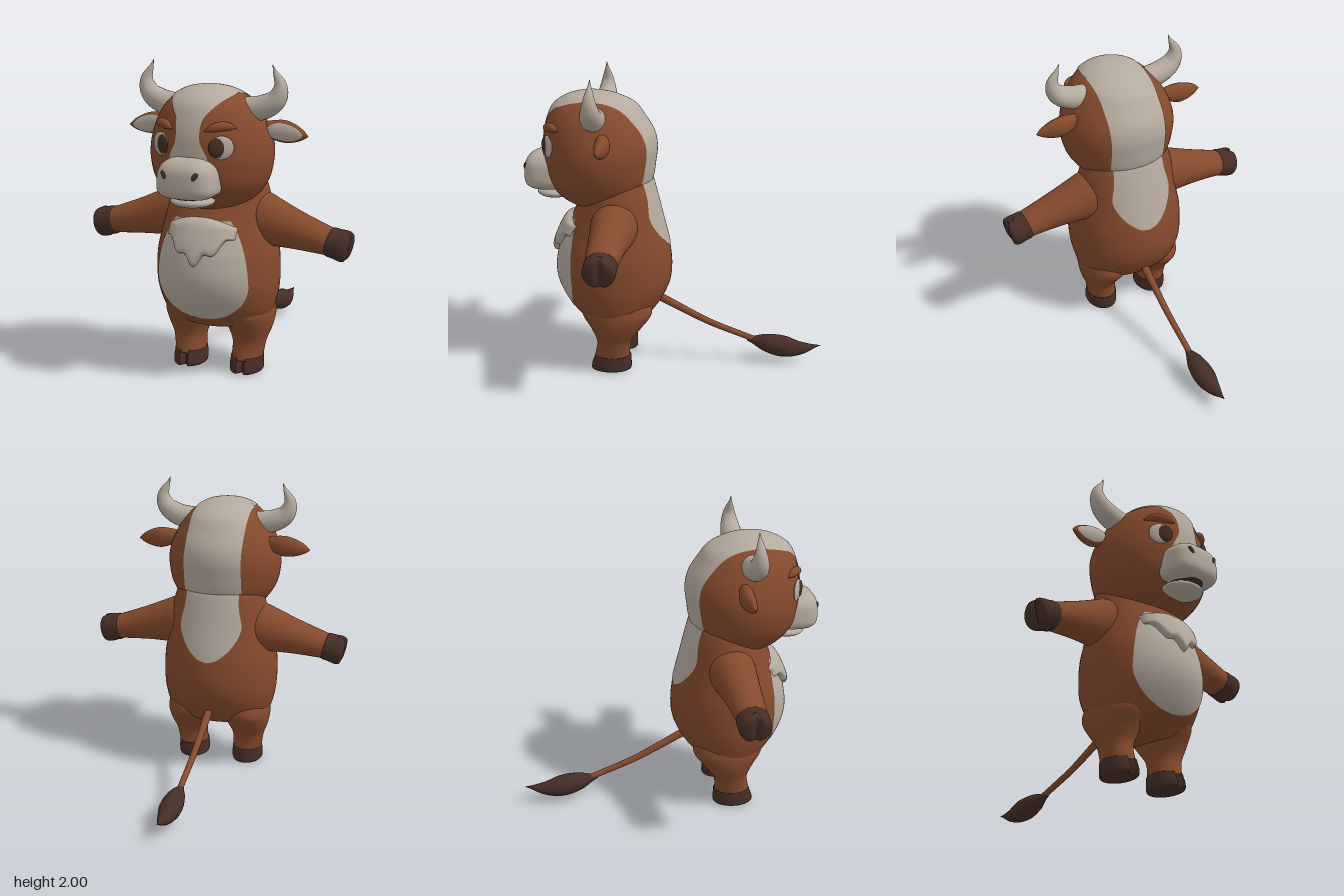
import * as THREE from 'three';
import { mergeVertices, toCreasedNormals } from 'three/addons/utils/BufferGeometryUtils.js';

const material = (name, color) => {
  const m = new THREE.MeshStandardMaterial({ color, side: THREE.DoubleSide });
  m.name = name;
  return m;
};

// Profile rows are [y, halfWidth, zBack, zFront, centreX], joined by a smooth curve.
function rowAt(rows, t) {
  const n = rows.length - 1;
  const i = Math.min(Math.floor(t), n - 1), f = t - i;
  const get = (k) => rows[Math.max(0, Math.min(n, k))];
  const [a, b, c, d] = [get(i - 1), get(i), get(i + 1), get(i + 2)];
  return b.map((_, k) => 0.5 * (2 * b[k] + (c[k] - a[k]) * f
    + (2 * a[k] - 5 * b[k] + 4 * c[k] - d[k]) * f * f
    + (3 * b[k] - a[k] - 3 * c[k] + d[k]) * f * f * f));
}

function findT(rows, y) {
  let lo = 0, hi = rows.length - 1;
  for (let i = 0; i < 30; i++) {
    const mid = (lo + hi) / 2;
    if (rowAt(rows, mid)[0] < y) lo = mid; else hi = mid;
  }
  return lo;
}

// Height of the front (side 1) or back (side -1) surface of a row at x
const depth = ([, rx, zb, zf], x, side) =>
  (zb + zf) / 2 + side * (zf - zb) / 2 * Math.sqrt(Math.max(0, 1 - (x / Math.max(rx, 1e-5)) ** 2));
const surfaceZ = (rows, x, y) => depth(rowAt(rows, findT(rows, y)), x, 1);

// Grid of points; wrap joins the last column to the first
function grid(nu, nv, wrap, flip, point) {
  const pos = [], index = [], cols = wrap ? nu : nu + 1;
  for (let j = 0; j <= nv; j++) for (let i = 0; i < cols; i++) pos.push(...point(i / nu, j / nv));
  for (let j = 0; j < nv; j++) for (let i = 0; i < nu; i++) {
    const k = (i + 1) % cols, a = j * cols + i, b = j * cols + k, c = a + cols, d = b + cols;
    if (flip) index.push(a, c, b, b, c, d); else index.push(a, b, c, b, d, c);
  }
  const g = new THREE.BufferGeometry();
  g.setAttribute('position', new THREE.Float32BufferAttribute(pos, 3));
  g.setIndex(index);
  g.computeVertexNormals();
  return g;
}

const loft = (rows) => grid(48, (rows.length - 1) * 5, true, false, (u, v) => {
  const [y, rx, zb, zf, cx = 0] = rowAt(rows, v * (rows.length - 1)), a = u * Math.PI * 2;
  return [cx + rx * Math.sin(a), y, (zb + zf) / 2 + (zf - zb) / 2 * Math.cos(a)];
});

// Thin marking that follows a loft between two heights
function patch(rows, y0, y1, side, width, k = 1.012, lift = 0) {
  const t0 = findT(rows, y0), t1 = findT(rows, y1);
  return grid(28, 60, false, side < 0, (u, v) => {
    const [y, rx, zb, zf] = rowAt(rows, t0 + (t1 - t0) * v);
    const c = (zb + zf) / 2, h = (zf - zb) / 2 * k;
    const big = [y, rx * k, c - h, c + h];
    const x = Math.min(width(y, rx), rx * k) * Math.sin((u - 0.5) * Math.PI);
    return [x, y + lift, depth(big, x, side)];
  });
}

// Width along y from [y, width] pairs
const widths = (pairs) => (y) => rowAt(pairs, findT(pairs, y))[1];

// Tube whose radius follows a list of values
function taper(points, radii) {
  const curve = new THREE.CatmullRomCurve3(points.map((p) => new THREE.Vector3(...p)));
  const n = 40, m = 20, rows = radii.map((r) => [r]);
  let g = new THREE.TubeGeometry(curve, n, 1, m);
  const p = g.attributes.position, v = new THREE.Vector3();
  for (let i = 0; i < p.count; i++) {
    const t = Math.floor(i / (m + 1)) / n, c = curve.getPointAt(t);
    v.fromBufferAttribute(p, i).sub(c).multiplyScalar(rowAt(rows, t * (rows.length - 1))[0]).add(c);
    p.setXYZ(i, v.x, v.y, v.z);
  }
  g.deleteAttribute('uv');
  g.deleteAttribute('normal');
  g = mergeVertices(g, 1e-5);
  g.computeVertexNormals();
  return g;
}

// Moves vertices by a rule, then renews the normals
function warp(g, rule) {
  const p = g.attributes.position;
  for (let i = 0; i < p.count; i++) p.setXYZ(i, ...rule(p.getX(i), p.getY(i), p.getZ(i)));
  g.computeVertexNormals();
  return g;
}

const BODY = [[0.29, 0, 0.4, 0.4], [0.31, 0.2, 0.27, 0.55], [0.35, 0.31, 0.18, 0.61], [0.42, 0.365, 0.11, 0.69],
  [0.55, 0.395, 0.04, 0.77], [0.67, 0.4, 0.02, 0.8], [0.8, 0.395, 0.03, 0.785], [0.9, 0.375, 0.05, 0.755],
  [1.0, 0.355, 0.075, 0.71], [1.1, 0.34, 0.1, 0.66], [1.2, 0.32, 0.125, 0.62], [1.3, 0.28, 0.155, 0.58], [1.4, 0.2, 0.22, 0.5]];
const HEAD = [[1.08, 0, 0.45, 0.45], [1.09, 0.12, 0.32, 0.6], [1.12, 0.21, 0.26, 0.68], [1.18, 0.29, 0.2, 0.77],
  [1.28, 0.36, 0.15, 0.84], [1.4, 0.39, 0.13, 0.865], [1.5, 0.388, 0.12, 0.87], [1.6, 0.36, 0.14, 0.865],
  [1.7, 0.31, 0.2, 0.84], [1.78, 0.245, 0.26, 0.8], [1.835, 0.165, 0.37, 0.72], [1.86, 0.08, 0.47, 0.63], [1.865, 0, 0.55, 0.55]];
const LEG = [[0.09, 0.1, 0.29, 0.53, 0.2], [0.2, 0.11, 0.28, 0.51, 0.21], [0.3, 0.145, 0.21, 0.55, 0.21],
  [0.4, 0.165, 0.14, 0.61, 0.2], [0.5, 0.15, 0.16, 0.6, 0.19]];
const FOOT = [[0, 0, 0.41, 0.41, 0.2], [0, 0.06, 0.33, 0.49, 0.2], [0.004, 0.1, 0.285, 0.55, 0.2],
  [0.04, 0.107, 0.28, 0.555, 0.2], [0.085, 0.104, 0.282, 0.54, 0.2], [0.105, 0.1, 0.288, 0.53, 0.2], [0.11, 0.06, 0.33, 0.48, 0.2]];
const ARM = [[-0.12, 0.15, -0.17, 0.11], [0, 0.17, -0.18, 0.13], [0.1, 0.152, -0.16, 0.125],
  [0.25, 0.122, -0.13, 0.115], [0.4, 0.098, -0.11, 0.108], [0.5, 0.085, -0.1, 0.1]];
const HAND = [[0.475, 0.06, -0.07, 0.07], [0.48, 0.09, -0.104, 0.104], [0.53, 0.095, -0.105, 0.105], [0.575, 0.1, -0.105, 0.105],
  [0.605, 0.09, -0.095, 0.095], [0.615, 0.055, -0.06, 0.06], [0.617, 0, 0, 0]];
const EAR = [[-0.06, 0.03, -0.03, 0.02], [0.03, 0.058, -0.055, 0.035], [0.1, 0.07, -0.065, 0.03], [0.17, 0.058, -0.05, 0.025],
  [0.23, 0.032, -0.025, 0.018], [0.27, 0, 0, 0]];

export function createModel() {
  const model = new THREE.Group();
  const brown = material('brown fur', 0x854a2c);
  const cream = material('cream', 0xb5aa9e);
  const dark = material('dark hoof', 0x452e26);
  const add = (parent, name, geometry, mat) => {
    const mesh = new THREE.Mesh(geometry, mat);
    mesh.name = name;
    parent.add(mesh);
    return mesh;
  };
  const ball = (parent, name, mat, [x, y, z], [sx, sy, sz], turn = 0, roll = 0) => {
    const mesh = add(parent, name, new THREE.SphereGeometry(1, 32, 20), mat);
    mesh.position.set(x, y, z);
    mesh.scale.set(sx, sy, sz);
    mesh.rotation.set(0, turn, roll);
  };

  // Torso and head with their markings
  add(model, 'body', loft(BODY), brown);
  add(model, 'head', loft(HEAD), brown);
  const belly = (y) => 0.31 * Math.sqrt(Math.max(0, 1 - ((y - 0.64) / (y < 0.64 ? 0.245 : 0.5)) ** 2));
  add(model, 'bellyPatch', patch(BODY, 0.395, 1.04, 1, belly), cream);
  add(model, 'backStripe', patch(BODY, 0.83, 1.36, -1,
    widths([[0.83, 0], [0.85, 0.07], [0.93, 0.16], [1.05, 0.215], [1.2, 0.19], [1.36, 0.18]])), cream);
  add(model, 'faceStripe', patch(HEAD, 1.4, 1.865, 1,
    widths([[1.4, 0.14], [1.47, 0.12], [1.56, 0.08], [1.68, 0.085], [1.76, 0.14], [1.82, 0.2], [1.87, 0.21]]), 1.012, 0.005), cream);
  add(model, 'headStripe', patch(HEAD, 1.28, 1.865, -1, () => 0.2, 1.012, 0.005), cream);

  // Scalloped chest tuft
  const tuft = grid(64, 24, false, false, (u, v) => {
    const s = u * 2 - 1, a = Math.abs(s), x = 0.23 * s;
    const top = 1.06 - 0.06 * a * a;
    const bottom = 0.765 + 0.165 * a ** 1.2 + 0.02 * (1 - Math.cos(2 * Math.PI * a / 0.52));
    const y = bottom + (top - bottom) * v;
    const puff = Math.sqrt((1 - a ** 8) * (1 - (2 * v - 1) ** 6));
    return [x, y, surfaceZ(BODY, x, y) - 0.005 + 0.055 * puff];
  });
  add(model, 'chestTuft', tuft, cream);

  // Muzzle, a soft block that narrows towards the top
  const soft = (t) => Math.sign(t) * Math.abs(t) ** 0.62;
  let snout = new THREE.SphereGeometry(1, 48, 32);
  snout.deleteAttribute('uv');
  snout.deleteAttribute('normal');
  snout = warp(mergeVertices(snout, 1e-5), (x, y, z) =>
    [soft(x) * (0.185 - 0.025 * y), 1.342 + soft(y) * 0.128, 0.83 + soft(z) * (0.17 - 0.012 * y)]);
  add(model, 'muzzle', snout, cream);
  ball(model, 'mouth', dark, [0, 1.222, 0.83], [0.115, 0.012, 0.115]);
  ball(model, 'lowerLip', cream, [0, 1.19, 0.8], [0.14, 0.04, 0.125]);

  // Tail
  add(model, 'tail', taper([[0, 0.47, 0.14], [0, 0.37, -0.05], [0, 0.275, -0.24], [0, 0.16, -0.54]],
    [0.028, 0.024, 0.021, 0.02]), brown);
  add(model, 'tailTuft', taper([[0, 0.16, -0.5], [0, 0.14, -0.6], [0, 0.115, -0.72], [0, 0.1, -0.85], [0, 0.125, -1]],
    [0.015, 0.06, 0.072, 0.042, 0.002]), dark);

  // Everything that comes in pairs
  for (const side of [1, -1]) {
    const half = new THREE.Group();
    half.name = side > 0 ? 'leftSide' : 'rightSide';
    half.scale.x = side;
    model.add(half);

    add(half, 'leg', loft(LEG), brown);
    const foot = warp(loft(FOOT), (x, y, z) =>
      [x, y, z - (z > 0.42 ? 0.05 * Math.exp(-(((x - 0.2) / 0.018) ** 2)) : 0)]);
    add(half, 'footHoof', toCreasedNormals(foot, 0.9), dark);

    const arm = new THREE.Group();
    arm.name = 'armGroup';
    arm.position.set(0.28, 1.015, 0.4);
    arm.rotation.z = -(Math.PI / 2 + 0.22);
    half.add(arm);
    add(arm, 'arm', loft(ARM), brown);
    add(arm, 'handHoof', warp(loft(HAND), (x, y, z) =>
      [x, y - (y > 0.56 ? 0.025 * Math.exp(-((z / 0.02) ** 2)) : 0), z]), dark);

    const ear = new THREE.Group();
    ear.name = 'earGroup';
    ear.position.set(0.345, 1.597, 0.44);
    ear.rotation.z = -(Math.PI / 2 + 0.12);
    half.add(ear);
    add(ear, 'ear', loft(EAR), brown);
    add(ear, 'innerEar', patch(EAR, 0.01, 0.235, 1,
      (y, rx) => 0.78 * rx * Math.sqrt(Math.max(0, 1 - ((y - 0.122) / 0.115) ** 4)), 1.08), cream);

    add(half, 'horn', taper([[0.2, 1.72, 0.5], [0.33, 1.735, 0.5], [0.425, 1.79, 0.5], [0.452, 1.87, 0.5], [0.415, 1.96, 0.5], [0.4, 2, 0.5]],
      [0.072, 0.077, 0.072, 0.055, 0.028, 0.002]), cream);

    // Face details
    ball(half, 'eyeWhite', cream, [0.2, 1.53, surfaceZ(HEAD, 0.2, 1.53)], [0.075, 0.072, 0.018], 0.52);
    ball(half, 'iris', dark, [0.178, 1.53, surfaceZ(HEAD, 0.178, 1.53) + 0.01], [0.05, 0.058, 0.016], 0.47);
    ball(half, 'nostril', dark, [0.1, 1.375, 0.985], [0.016, 0.03, 0.012], 0.25, -0.6);
    const brow = [[0.105, 1.628], [0.14, 1.643], [0.19, 1.655], [0.235, 1.652], [0.265, 1.64]]
      .map(([x, y]) => [x, y, surfaceZ(HEAD, x, y) + 0.006]);
    add(half, 'brow', taper(brow, [0.004, 0.024, 0.029, 0.024, 0.004]), brown);
  }
  return model;
}
